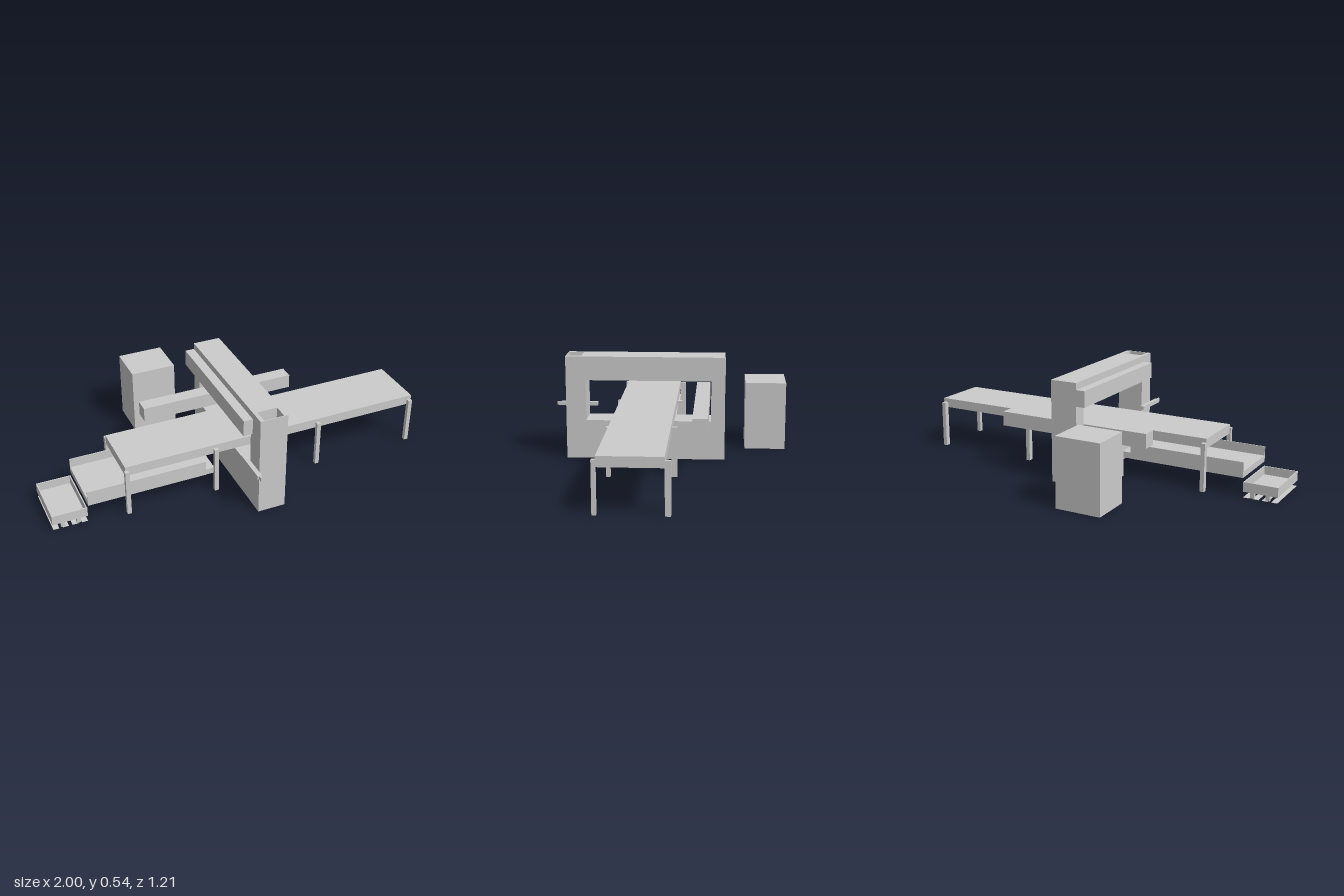
import * as THREE from 'three';

export function createModel() {
  const model = new THREE.Group();
  const material = new THREE.MeshStandardMaterial({ color: 0xcccccc, flatShading: true, side: THREE.DoubleSide });

  const add = (name, geometry, parent = model) => {
    const mesh = new THREE.Mesh(geometry, material);
    mesh.name = name;
    parent.add(mesh);
    return mesh;
  };
  // Box given by its extents on each axis
  const box = (name, [x0, x1], [y0, y1], [z0, z1], parent = model) => {
    const mesh = add(name, new THREE.BoxGeometry(x1 - x0, y1 - y0, z1 - z0), parent);
    mesh.position.set((x0 + x1) / 2, (y0 + y1) / 2, (z0 + z1) / 2);
    return mesh;
  };
  const group = (name) => {
    const g = new THREE.Group();
    g.name = name;
    model.add(g);
    return g;
  };
  const rect = (Type, x0, x1, y0, y1) => new Type([[x0, y0], [x1, y0], [x1, y1], [x0, y1]]
    .map(([x, y]) => new THREE.Vector2(x, y)));

  // Main conveyor table on four pairs of legs
  const table = group('conveyorTable');
  box('tableBed', [-0.62, 1], [0.22, 0.27], [-0.027, 0.272], table);
  for (const [front, back] of [[-0.615, -0.612], [-0.145, -0.147], [0.432, 0.417], [0.985, 0.983]]) {
    box('frontLeg', [front - 0.011, front + 0.011], [0, 0.25], [0.272, 0.292], table);
    box('backLeg', [back - 0.011, back + 0.011], [0, 0.25], [-0.054, -0.027], table);
  }

  // Portal frame: outline in z and y, swept along x
  const portal = group('portalFrame');
  const outline = rect(THREE.Shape, -0.45, 0.283, 0, 0.535);
  outline.holes.push(rect(THREE.Path, -0.43, 0.212, 0.202, 0.412));
  const arch = add('portalArch', new THREE.ExtrudeGeometry(outline, { depth: 0.145, bevelEnabled: false }), portal);
  arch.rotation.y = Math.PI / 2;
  arch.position.x = -0.027;
  // Front end of the portal, with a pocket in its top
  box('portalFrontColumn', [-0.027, 0.118], [0, 0.435], [0.45, 0.533], portal);
  const rim = rect(THREE.Shape, -0.027, 0.118, -0.533, -0.45);
  rim.holes.push(rect(THREE.Path, -0.007, 0.098, -0.528, -0.453));
  const rimMesh = add('portalPocketRim', new THREE.ExtrudeGeometry(rim, { depth: 0.1, bevelEnabled: false }), portal);
  rimMesh.rotation.x = -Math.PI / 2;
  rimMesh.position.y = 0.435;

  // Rail along the portal, side beam, front arm and cabinet
  box('portalRail', [-0.075, -0.027], [0.415, 0.5], [-0.285, 0.45]);
  box('sideBeam', [-0.375, 0.47], [0.228, 0.304], [-0.202, -0.127]);
  box('frontArm', [-0.06, -0.037], [0.242, 0.262], [0.39, 0.583]);
  box('frontArmTip', [-0.052, -0.045], [0.242, 0.262], [0.583, 0.605]);
  box('controlCabinet', [-0.343, -0.102], [0, 0.36], [-0.605, -0.39]);

  // Lower chute with side walls, open at the outlet
  const chute = group('lowerChute');
  box('chuteFloor', [-0.817, -0.15], [0.1, 0.132], [-0.026, 0.271], chute);
  for (const z of [-0.027, 0.267]) box('chuteWall', [-0.817, -0.197], [0.1, 0.18], [z, z + 0.005], chute);

  // Open collecting tray on a slatted pallet
  const tray = group('collectingTray');
  box('trayFloor', [-0.995, -0.822], [0.03, 0.036], [-0.024, 0.258], tray);
  for (const x of [-0.998, -0.825]) box('trayEndWall', [x, x + 0.006], [0.03, 0.08], [-0.027, 0.261], tray);
  for (const z of [-0.027, 0.255]) box('traySideWall', [-0.998, -0.819], [0.03, 0.08], [z, z + 0.006], tray);
  const pallet = group('pallet');
  for (const x of [-0.945, -0.866]) {
    for (const z of [-0.015, 0.117, 0.249]) box('palletFoot', [x - 0.01, x + 0.01], [0.002, 0.03], [z - 0.01, z + 0.01], pallet);
  }
  for (let i = 0; i < 4; i++) {
    const x = -0.996 + i * 0.048;
    box('palletSlat', [x, x + 0.03], [0, 0.002], [-0.027, 0.261], pallet);
  }
  return model;
}
